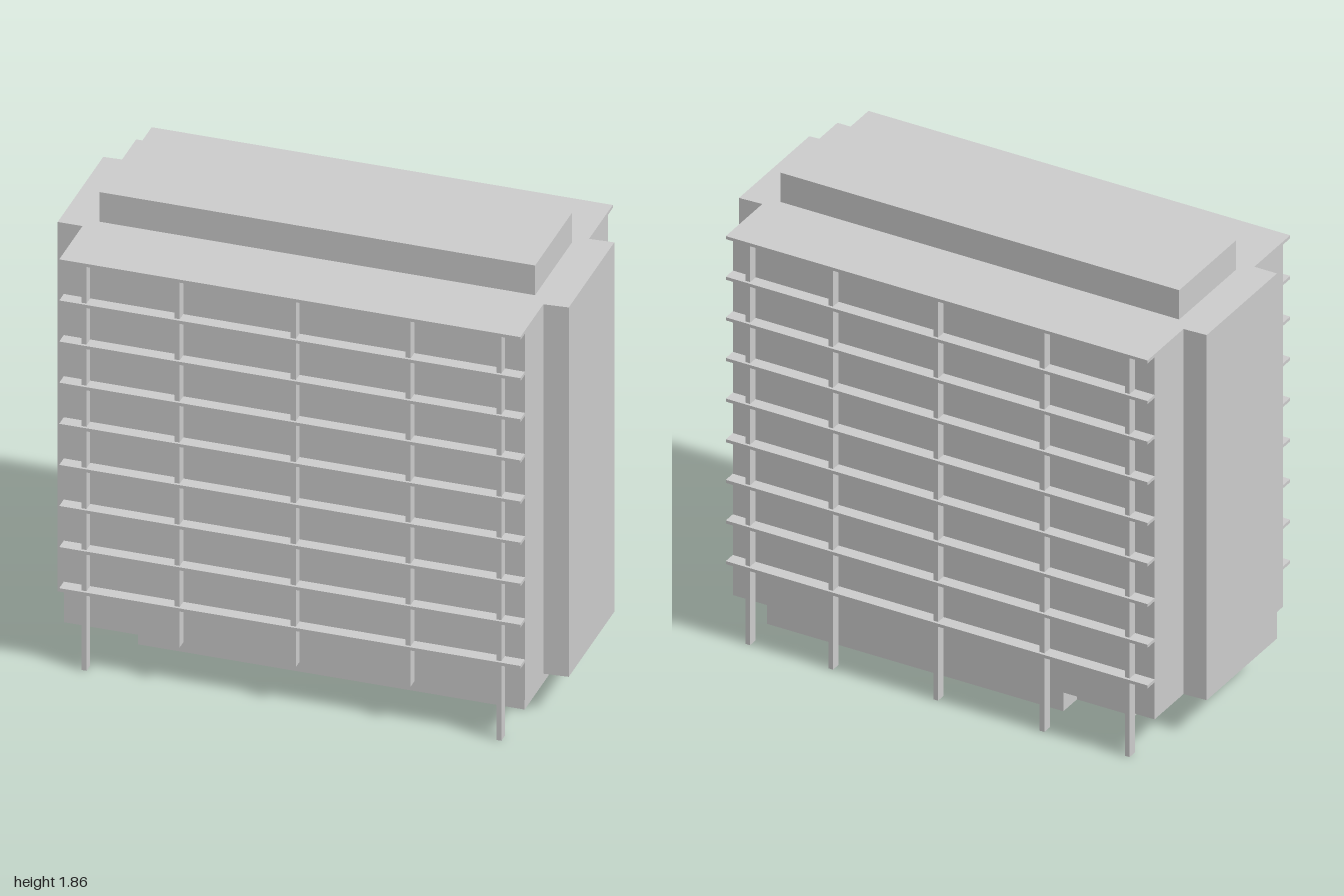
import * as THREE from 'three';

const material = new THREE.MeshStandardMaterial({ color: 0xcccccc, flatShading: true });

// Extrude a floor plan of [x, z] points from height y0 to y1
function extrudePlan(name, points, y0, y1) {
  const shape = new THREE.Shape(points.map(([x, z]) => new THREE.Vector2(x, -z)));
  const geometry = new THREE.ExtrudeGeometry(shape, { depth: y1 - y0, bevelEnabled: false });
  geometry.rotateX(-Math.PI / 2).translate(0, y0, 0);
  const mesh = new THREE.Mesh(geometry, material);
  mesh.name = name;
  return mesh;
}

// Box given by its limits on each axis
function box(name, [x0, x1], [y0, y1], [z0, z1]) {
  const mesh = new THREE.Mesh(new THREE.BoxGeometry(x1 - x0, y1 - y0, z1 - z0), material);
  mesh.position.set((x0 + x1) / 2, (y0 + y1) / 2, (z0 + z1) / 2);
  mesh.name = name;
  return mesh;
}

export function createModel() {
  const building = new THREE.Group();
  building.name = 'apartmentBlock';

  const base = 0.166, roof = 1.737;
  const halfWidth = 0.903, wall = 0.475, slabEdge = 0.527;

  // Main block with a projecting bay at each end
  building.add(extrudePlan('mainBlock', [
    [-halfWidth, wall], [-halfWidth, 0.262], [-1, 0.262], [-1, -0.257], [-halfWidth, -0.262],
    [-halfWidth, -wall], [halfWidth, -wall], [halfWidth, -0.257], [1, -0.262], [1, 0.257],
    [halfWidth, 0.265], [halfWidth, wall],
  ], base, roof));

  // Recessed ground floor with a notched back corner
  building.add(extrudePlan('groundFloor', [
    [-0.685, 0.265], [0.83, 0.265], [0.83, -0.35], [-0.44, -0.35], [-0.44, -0.25], [-0.685, -0.25],
  ], 0, base));

  // Rooftop plant room
  building.add(box('plantRoom', [-0.855, 0.852], [roof, 1.863], [-0.21, 0.21]));

  // Balcony slabs and columns on both long facades
  const columnX = [-0.81, -0.445, 0.01, 0.46, 0.815];
  for (const side of [1, -1]) {
    const facade = new THREE.Group();
    facade.name = side > 0 ? 'frontFacade' : 'backFacade';
    const span = (a, b) => (side > 0 ? [a, b] : [-b, -a]);

    for (let i = 0; i < 9; i++) {
      const top = roof - i * 0.1748;
      facade.add(box('balconySlab', [-halfWidth, halfWidth], [top - 0.013, top], span(wall, slabEdge)));
    }
    columnX.forEach((x, i) => {
      // The inner front columns stop at the underside of the block
      const outer = i === 0 || i === columnX.length - 1;
      const foot = side < 0 || outer ? 0 : base;
      facade.add(box('column', [x - 0.01, x + 0.01], [foot, roof - 0.013], span(wall, 0.516)));
    });
    building.add(facade);
  }
  return building;
}
